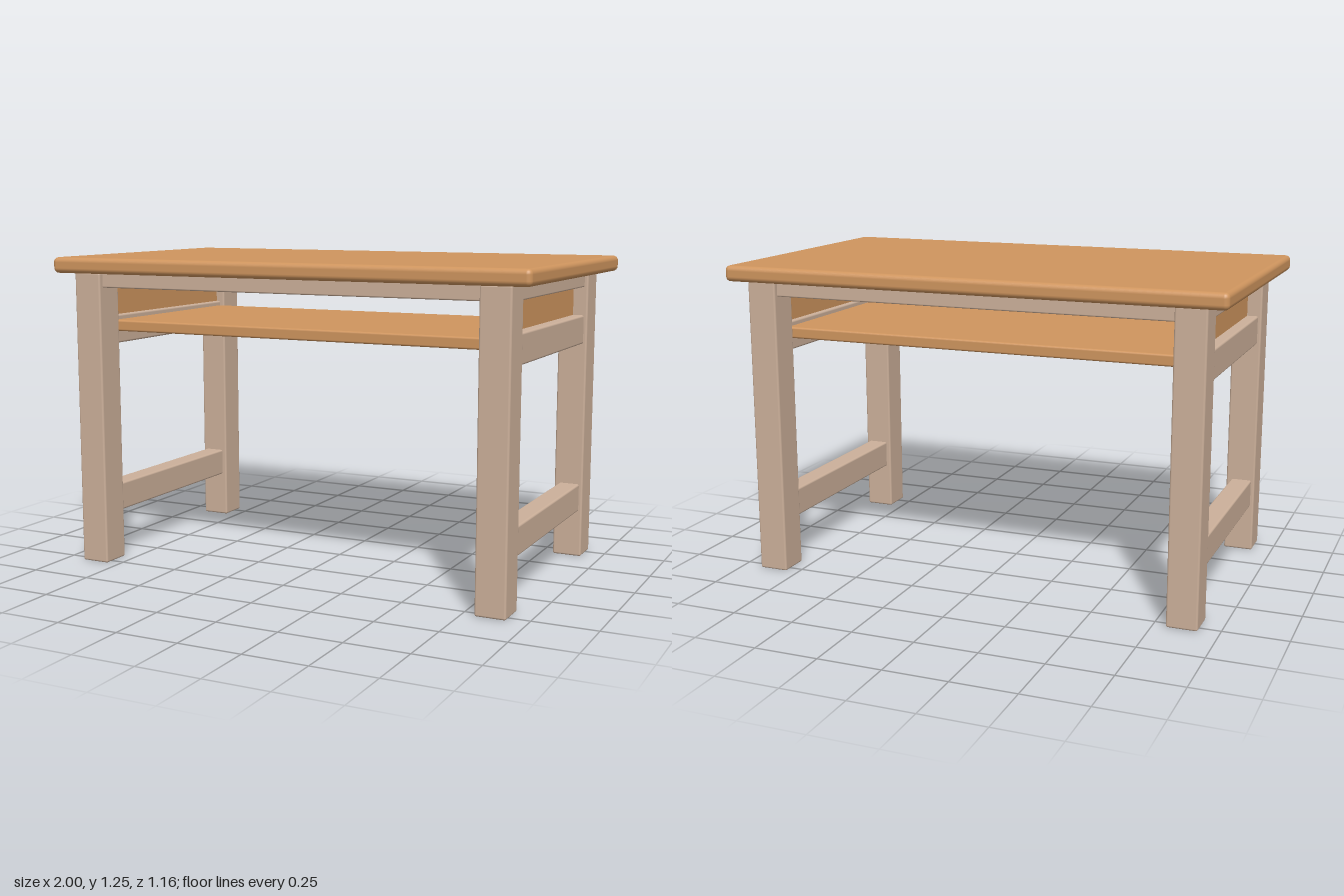
import * as THREE from 'three';
import { RoundedBoxGeometry } from 'three/addons/geometries/RoundedBoxGeometry.js';

const oak = new THREE.MeshStandardMaterial({ color: 0xcf955e });
oak.name = 'warm oak';
const frame = new THREE.MeshStandardMaterial({ color: 0xccb09a });
frame.name = 'pale frame wood';

// Softly rounded board given by its min and max on each axis
function board(name, material, [x0, x1], [y0, y1], [z0, z1], radius) {
  const geometry = new RoundedBoxGeometry(x1 - x0, y1 - y0, z1 - z0, 3, radius);
  const mesh = new THREE.Mesh(geometry, material);
  mesh.position.set((x0 + x1) / 2, (y0 + y1) / 2, (z0 + z1) / 2);
  mesh.name = name;
  return mesh;
}

// Span on one side of the centre, mirrored when side is -1
const span = (side, a, b) => (side > 0 ? [a, b] : [-b, -a]);

export function createModel() {
  const desk = new THREE.Group();
  desk.name = 'desk';

  // Tabletop and the shelf below it
  desk.add(board('tabletop', oak, [-1, 1], [1.187, 1.25], [-0.58, 0.58], 0.02));
  desk.add(board('shelf', oak, [-0.85, 0.85], [0.947, 0.992], [-0.415, 0.415], 0.008));

  for (const side of [1, -1]) {
    const label = side > 0 ? 'left' : 'right';
    const railX = span(side, 0.82, 0.905);
    const railZ = [-0.425, 0.425];

    // Legs
    for (const end of [1, -1]) {
      const name = (end > 0 ? 'front' : 'back') + ' ' + label + ' leg';
      desk.add(board(name, frame, span(side, 0.8, 0.92), [0, 1.19], span(end, 0.413, 0.54), 0.008));
    }

    // Side frame: apron, shelf rail and lower stretcher
    desk.add(board(label + ' apron', frame, railX, [1.127, 1.19], railZ, 0.006));
    desk.add(board(label + ' shelf rail', frame, railX, [0.895, 1.012], railZ, 0.008));
    desk.add(board(label + ' stretcher', frame, railX, [0.193, 0.308], railZ, 0.008));

    // Side panel closing the gap above the shelf
    desk.add(board(label + ' side panel', oak, span(side, 0.838, 0.86), [0.99, 1.15], railZ, 0.003));
  }

  // Long aprons under the front and back of the tabletop
  for (const end of [1, -1]) {
    const name = (end > 0 ? 'front' : 'back') + ' apron';
    desk.add(board(name, frame, [-0.81, 0.81], [1.13, 1.19], span(end, 0.435, 0.52), 0.006));
  }

  return desk;
}
